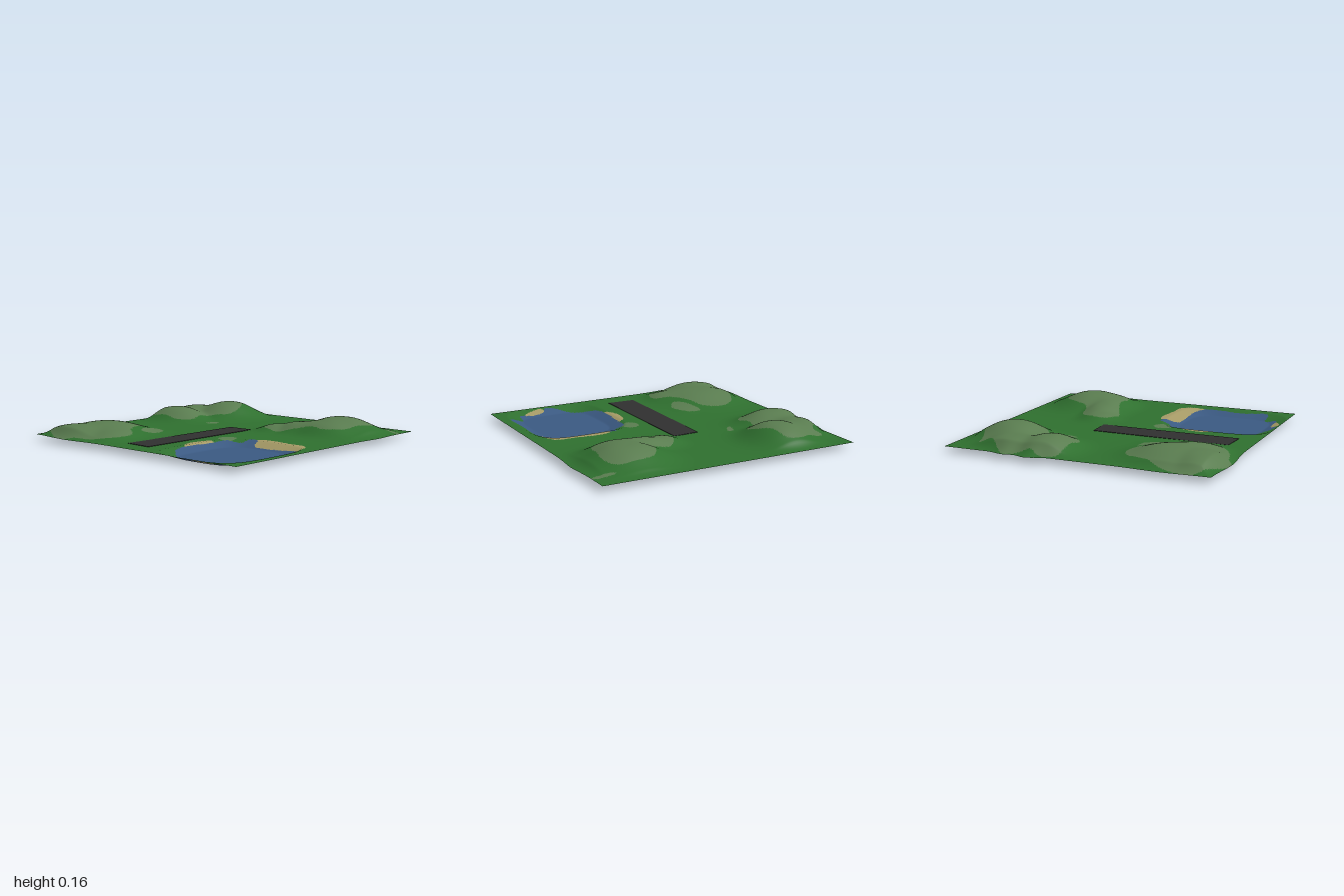
import * as THREE from 'three';

const BASE = 0.04, N = 200;
const X0 = -0.957, X1 = 0.983, Z0 = -0.985, Z1 = 0.955;

// hills: centre x, z, radius x, z, height above the plain
const HILLS = [
  [-0.54, -0.66, 0.2, 0.22, 0.122], [-0.74, -0.29, 0.22, 0.17, 0.1], [-0.78, -0.54, 0.17, 0.2, 0.085],
  [0.62, -0.6, 0.24, 0.23, 0.113], [0.4, -0.41, 0.17, 0.13, 0.075], [0.22, -0.36, 0.12, 0.12, 0.047],
  [0.6, -0.42, 0.22, 0.14, 0.085],
  [-0.62, 0.58, 0.27, 0.27, 0.085], [-0.7, 0.8, 0.22, 0.14, 0.075], [-0.4, 0.67, 0.14, 0.17, 0.056],
  [-0.37, 0.36, 0.1, 0.14, 0.015],
];

// closed outlines of the painted areas, as x, z pairs
const ROCK = [
  [-0.84, -0.78, -0.72, -0.81, -0.585, -0.87, -0.49, -0.85, -0.45, -0.73, -0.39, -0.61, -0.39, -0.5, -0.505, -0.4,
    -0.525, -0.32, -0.505, -0.21, -0.585, -0.13, -0.72, -0.13, -0.92, -0.14, -0.945, -0.24, -0.9, -0.34,
    -0.945, -0.45, -0.95, -0.53, -0.87, -0.64, -0.81, -0.71],
  [0.62, -0.8, 0.78, -0.78, 0.83, -0.665, 0.805, -0.53, 0.78, -0.4, 0.67, -0.32, 0.54, -0.33, 0.4, -0.28,
    0.3, -0.24, 0.16, -0.28, 0.14, -0.37, 0.23, -0.505, 0.38, -0.55, 0.43, -0.665, 0.51, -0.77],
  [-0.64, 0.245, -0.505, 0.3, -0.45, 0.43, -0.37, 0.565, -0.275, 0.645, -0.29, 0.78, -0.4, 0.885, -0.56, 0.92,
    -0.665, 0.96, -0.85, 0.9, -0.95, 0.83, -0.93, 0.645, -0.85, 0.46, -0.77, 0.31],
  [-0.45, 0.245, -0.355, 0.255, -0.29, 0.4, -0.345, 0.48, -0.41, 0.4],
  [-0.38, -0.34, -0.345, -0.33, -0.365, -0.27, -0.4, -0.245],
  [0.14, 0.13, 0.2, 0.1, 0.25, 0.13, 0.25, 0.2, 0.19, 0.24, 0.14, 0.2],
  [0.82, -0.85, 0.98, -0.835, 0.98, -0.81, 0.84, -0.825],
];
const SAND = [
  [0.4, 0.08, 0.48, 0.045, 0.67, 0.06, 0.83, 0.08, 0.88, 0.22, 0.87, 0.27, 0.8, 0.22, 0.46, 0.22],
  [0.17, 0.33, 0.21, 0.32, 0.24, 0.47, 0.22, 0.61, 0.17, 0.57, 0.14, 0.48],
  [0.57, 0.87, 0.68, 0.84, 0.735, 0.87, 0.65, 0.92, 0.57, 0.93],
];
const WATER = [
  [0.35, 0.085, 0.415, 0.09, 0.46, 0.18, 0.64, 0.185, 0.8, 0.19, 0.885, 0.255, 0.885, 0.565, 0.895, 0.76,
    0.79, 0.77, 0.78, 0.86, 0.67, 0.86, 0.575, 0.885, 0.55, 0.93, 0.47, 0.915, 0.375, 0.83, 0.215, 0.7,
    0.21, 0.35, 0.23, 0.205, 0.33, 0.17],
];

const gauss = (v, c, r) => Math.exp(-(((v - c) / r) ** 2));

function height(x, z) {
  // blend the hills, fading them towards the border of the sheet
  let sum = 0;
  for (const [cx, cz, rx, rz, h] of HILLS) {
    const d = ((x - cx) / rx) ** 2 + ((z - cz) / rz) ** 2;
    sum += (h * Math.exp(-(d ** 1.35) * 0.75)) ** 4;
  }
  const border = Math.min(x - X0, X1 - x, z - Z0, Z1 - z);
  const hill = sum ** 0.25 * Math.min(1, border / 0.09);
  // flat-bottomed lake basin
  const u = (((x - 0.55) / 0.37) ** 4 + ((z - 0.525) / 0.43) ** 4) ** 0.25;
  const basin = BASE * THREE.MathUtils.clamp((1 - u) / 0.27, 0, 1);
  return BASE + hill - basin;
}

// smooth outline with its bounds, ready for an inside test
function outline(flat) {
  const pts = [];
  for (let i = 0; i < flat.length; i += 2) pts.push(new THREE.Vector3(flat[i], 0, flat[i + 1]));
  const loop = new THREE.CatmullRomCurve3(pts, true, 'centripetal').getPoints(pts.length * 4);
  return { loop, box: new THREE.Box3().setFromPoints(loop) };
}

function inside({ loop, box }, x, z) {
  if (x < box.min.x || x > box.max.x || z < box.min.z || z > box.max.z) return false;
  let hit = false;
  for (let i = 0, j = loop.length - 1; i < loop.length; j = i++) {
    const a = loop[i], b = loop[j];
    if ((a.z > z) !== (b.z > z) && x < ((b.x - a.x) * (z - a.z)) / (b.z - a.z) + a.x) hit = !hit;
  }
  return hit;
}

export function createModel() {
  const group = new THREE.Group();
  const material = (name, color) => {
    const m = new THREE.MeshStandardMaterial({ color, side: THREE.DoubleSide });
    m.name = name;
    return m;
  };

  // terrain sheet: a fine grid raised by the height rule
  const sheet = new THREE.PlaneGeometry(X1 - X0, Z1 - Z0, N, N);
  sheet.rotateX(-Math.PI / 2).translate((X0 + X1) / 2, 0, (Z0 + Z1) / 2);
  const pos = sheet.attributes.position;
  const flat = pos.clone();
  for (let i = 0; i < pos.count; i++) {
    const x = pos.getX(i), z = pos.getZ(i);
    const near = (d) => Math.max(0, 1 - d / 0.12);
    // gentle bulges along the left, right and front borders
    const dx = near(X1 - x) * 0.016 * gauss(z, -0.55, 0.14)
      - near(x - X0) * (0.042 * gauss(z, -0.34, 0.08) + 0.028 * gauss(z, -0.52, 0.07) + 0.015 * gauss(z, 0.62, 0.2));
    const dz = near(Z1 - z) * 0.03 * gauss(x, -0.62, 0.2);
    pos.setXYZ(i, x + dx, height(x, z), z + dz);
  }
  sheet.computeVertexNormals();

  // split the sheet into painted areas that share vertices and normals
  const areas = [
    { name: 'lake', mat: material('waterBlue', 0x3b5a83), outlines: WATER.map(outline), index: [] },
    { name: 'beach', mat: material('sand', 0xa59a66), outlines: SAND.map(outline), index: [] },
    { name: 'rockyHills', mat: material('rockGreen', 0x5a7d50), outlines: ROCK.map(outline), index: [] },
    { name: 'grassland', mat: material('grassGreen', 0x2f702f), outlines: null, index: [] },
  ];
  const idx = sheet.index.array;
  for (let t = 0; t < idx.length; t += 3) {
    const [a, b, c] = [idx[t], idx[t + 1], idx[t + 2]];
    const x = (flat.getX(a) + flat.getX(b) + flat.getX(c)) / 3;
    const z = (flat.getZ(a) + flat.getZ(b) + flat.getZ(c)) / 3;
    areas.find((r) => !r.outlines || r.outlines.some((o) => inside(o, x, z))).index.push(a, b, c);
  }
  for (const { name, mat, index } of areas) {
    const geo = new THREE.BufferGeometry();
    geo.setAttribute('position', pos);
    geo.setAttribute('normal', sheet.attributes.normal);
    geo.setIndex(index);
    const mesh = new THREE.Mesh(geo, mat);
    mesh.name = name;
    group.add(mesh);
  }

  // paved strip, a thin plate showing on both sides of the sheet
  const strip = new THREE.Shape([[-0.14, 0.24], [0.06, 0.25], [0.055, -0.805], [-0.155, -0.795]]
    .map(([x, y]) => new THREE.Vector2(x, y)));
  const plate = new THREE.ExtrudeGeometry(strip, { depth: 0.006, bevelEnabled: false });
  plate.rotateX(-Math.PI / 2).translate(0, BASE - 0.003, 0);
  const runway = new THREE.Mesh(plate, material('asphalt', 0x303030));
  runway.name = 'runway';
  group.add(runway);

  return group;
}
